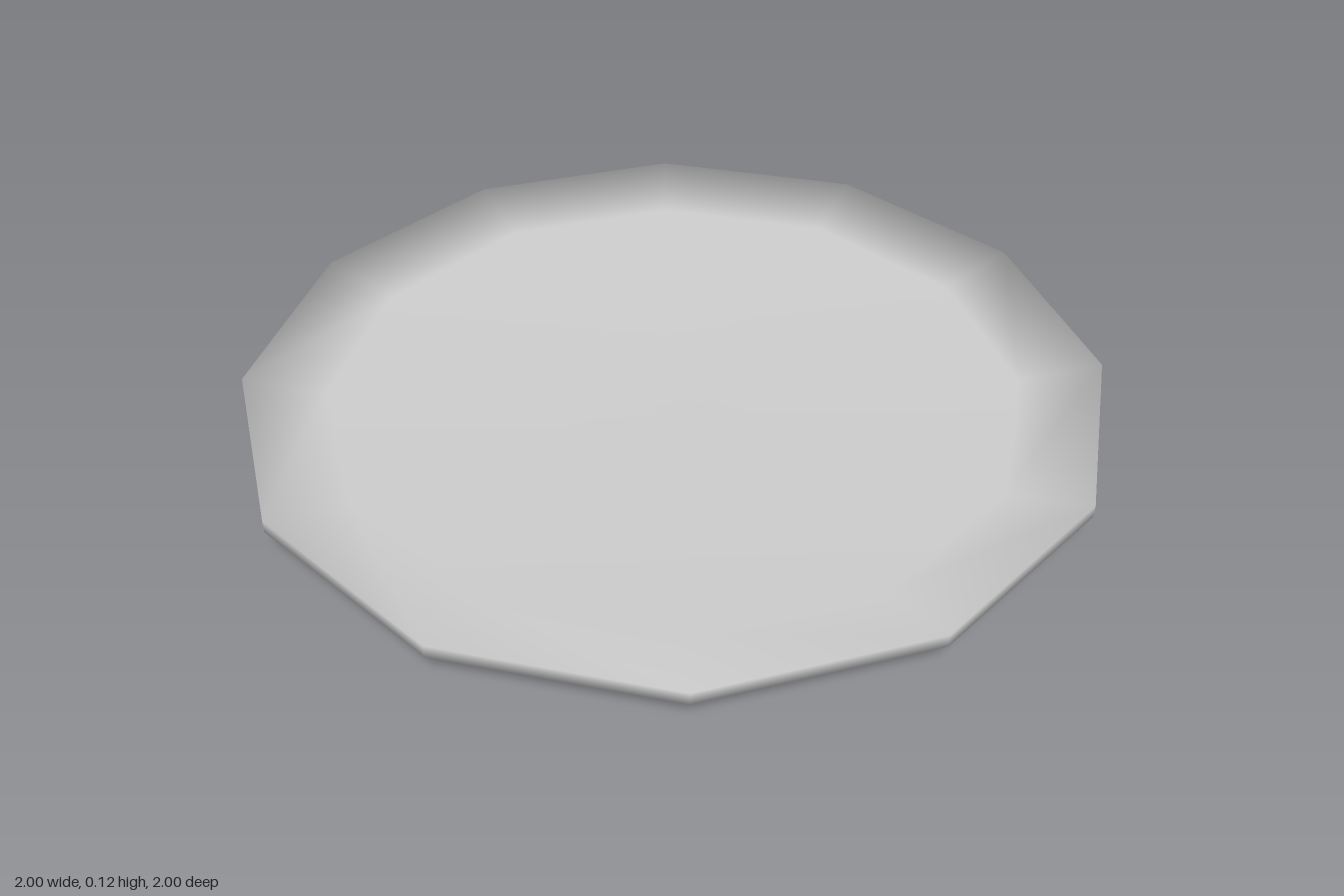
import * as THREE from 'three';

export function createModel() {
  const model = new THREE.Group();
  model.name = 'plate';
  const glaze = new THREE.MeshStandardMaterial({ color: 0xcccccc });
  glaze.name = 'pale grey glaze';

  // Closed cross-section, from the centre underneath round to the centre on top
  const profile = [
    [0, 0.02], [0.53, 0.02],   // recess inside the foot
    [0.55, 0], [0.6, 0],       // foot ring
    [0.66, 0.042], [1, 0.09],  // flared underside
    [1, 0.12],                 // rim
    [0.81, 0.078], [0, 0.072], // sloping lip and floor
  ].map(([r, y]) => new THREE.Vector2(r, y));

  const sides = 12;
  const geometry = new THREE.LatheGeometry(profile, sides);

  // Soften the rim: its top edge shades outwards, blending into the lip
  const rimRow = 6;
  const normal = geometry.attributes.normal;
  for (let i = 0; i <= sides; i++) {
    const a = (i / sides) * Math.PI * 2;
    normal.setXYZ(i * profile.length + rimRow, Math.sin(a) * 0.94, 0.34, Math.cos(a) * 0.94);
  }

  const dish = new THREE.Mesh(geometry, glaze);
  dish.name = 'dish';
  model.add(dish);
  return model;
}
